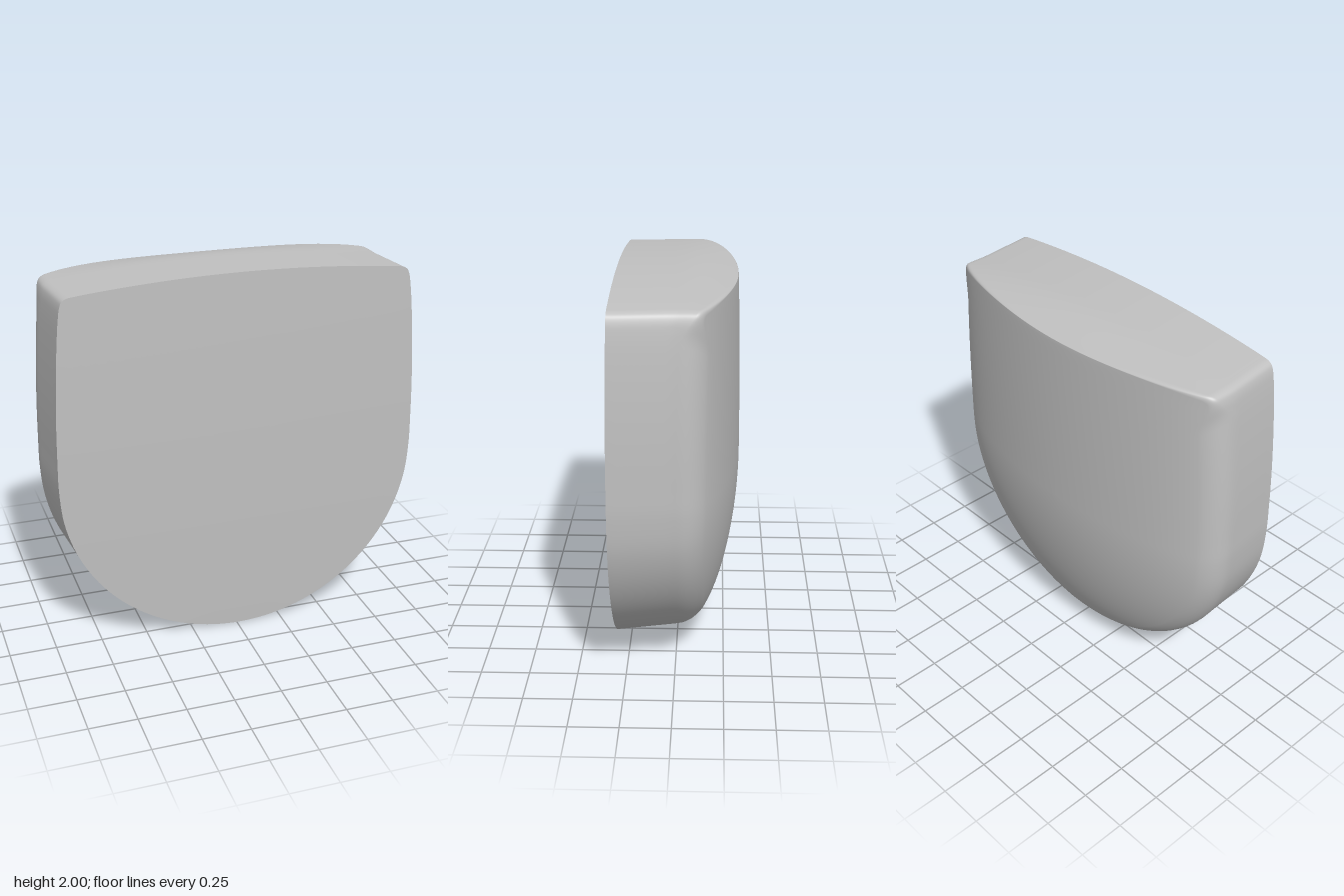
import * as THREE from 'three';

const CENTRE_Y = 1;
const clamp = THREE.MathUtils.clamp;

// Closed shield outline, anticlockwise from the bottom tip
function makeOutline() {
  const half = [];
  for (let i = 0; i <= 8; i++) {
    const a = (i / 8) * Math.PI / 2;
    half.push([0.968 * Math.sin(a), 0.95 - 0.95 * Math.cos(a)]);
  }
  half.push([0.968, 1.1], [0.964, 1.3], [0.955, 1.5], [0.941, 1.7], [0.927, 1.84],
    [0.916, 1.905], [0.904, 1.932], [0.882, 1.946], [0.84, 1.953], [0.6, 1.976], [0.3, 1.994], [0, 2]);
  const left = half.slice(1, -1).reverse().map(([x, y]) => [-x, y]);
  const points = half.concat(left).map(([x, y]) => new THREE.Vector3(x, y, 0));
  const curve = new THREE.CatmullRomCurve3(points, true, 'centripetal');
  return curve.getPoints(points.length * 5).slice(0, -1);
}

// Shallow bulge of the front and deep dome of the back
const frontZ = (x, y) => 0.325 - 0.009 * x * x - 0.014 * (y - 1) ** 2;
function backZ(x, y) {
  const r2 = x * x + Math.max(0, 1 - y) ** 2;
  return -0.325 + 0.19 * r2 + 0.06 * r2 ** 4 + 0.016 * Math.max(0, y - 1) ** 2;
}

// Lean of the side wall, lift of the bottom and slope of the top towards the back
function bend(x, y, z) {
  const t = clamp((0.31 - z) / 0.31, 0, 1);
  const drop = clamp((-0.04 - z) / 0.27, 0, 1) ** 1.6;
  const ny = y - Math.max(0, y - 1.945) * drop + 0.025 * t * Math.max(0, 1 - y);
  return [x + 0.016 - 0.032 * t, ny, z];
}

// Skin over a stack of rings
function loft(rings) {
  const n = rings[0].length;
  const index = [];
  for (let k = 0; k < rings.length - 1; k++) {
    for (let i = 0; i < n; i++) {
      const a = k * n + i, b = k * n + (i + 1) % n;
      index.push(a, a + n, b, b, a + n, b + n);
    }
  }
  const geometry = new THREE.BufferGeometry();
  geometry.setAttribute('position', new THREE.Float32BufferAttribute(rings.flat(2), 3));
  geometry.setIndex(index);
  geometry.computeVertexNormals();
  return geometry;
}

export function createModel() {
  const group = new THREE.Group();
  group.name = 'shieldBlock';
  const grey = new THREE.MeshStandardMaterial({ color: 0xc0c0c0 });
  grey.name = 'grey';

  const outline = makeOutline();
  const scaled = (p, s) => [p.x * s, CENTRE_Y + (p.y - CENTRE_Y) * s];
  const ring = fn => outline.map(p => bend(...fn(p)));
  // Edge rounding is wide along the sides and tight along the top
  const radius = p => THREE.MathUtils.lerp(0.09, 0.025, THREE.MathUtils.smoothstep(p.y, 1.8, 1.945));

  // Front face
  const front = [];
  for (let k = 0; k <= 12; k++) {
    front.push(ring(p => {
      const [x, y] = scaled(p, k / 12);
      return [x, y, frontZ(x, y)];
    }));
  }

  // Side wall
  const shell = [];
  for (let k = 0; k <= 12; k++) {
    shell.push(ring(p => [p.x, p.y,
      THREE.MathUtils.lerp(frontZ(p.x, p.y), backZ(p.x, p.y) + radius(p), k / 12)]));
  }
  // Rounded back edge
  for (let k = 1; k <= 8; k++) {
    const t = k / 8;
    shell.push(ring(p => {
      const r = radius(p), edge = backZ(p.x, p.y);
      const [ix, iy] = scaled(p, 1 - r);
      const [x, y] = scaled(p, 1 - r * t * t);
      const z = (1 - t) ** 2 * (edge + r) + 2 * t * (1 - t) * edge + t * t * backZ(ix, iy);
      return [x, y, z];
    }));
  }
  // Domed back
  for (let k = 1; k <= 20; k++) {
    shell.push(ring(p => {
      const [x, y] = scaled(p, (1 - radius(p)) * (1 - k / 20));
      return [x, y, backZ(x, y)];
    }));
  }

  for (const [name, rings] of [['frontFace', front], ['wallAndBack', shell]]) {
    const mesh = new THREE.Mesh(loft(rings), grey);
    mesh.name = name;
    group.add(mesh);
  }
  return group;
}
